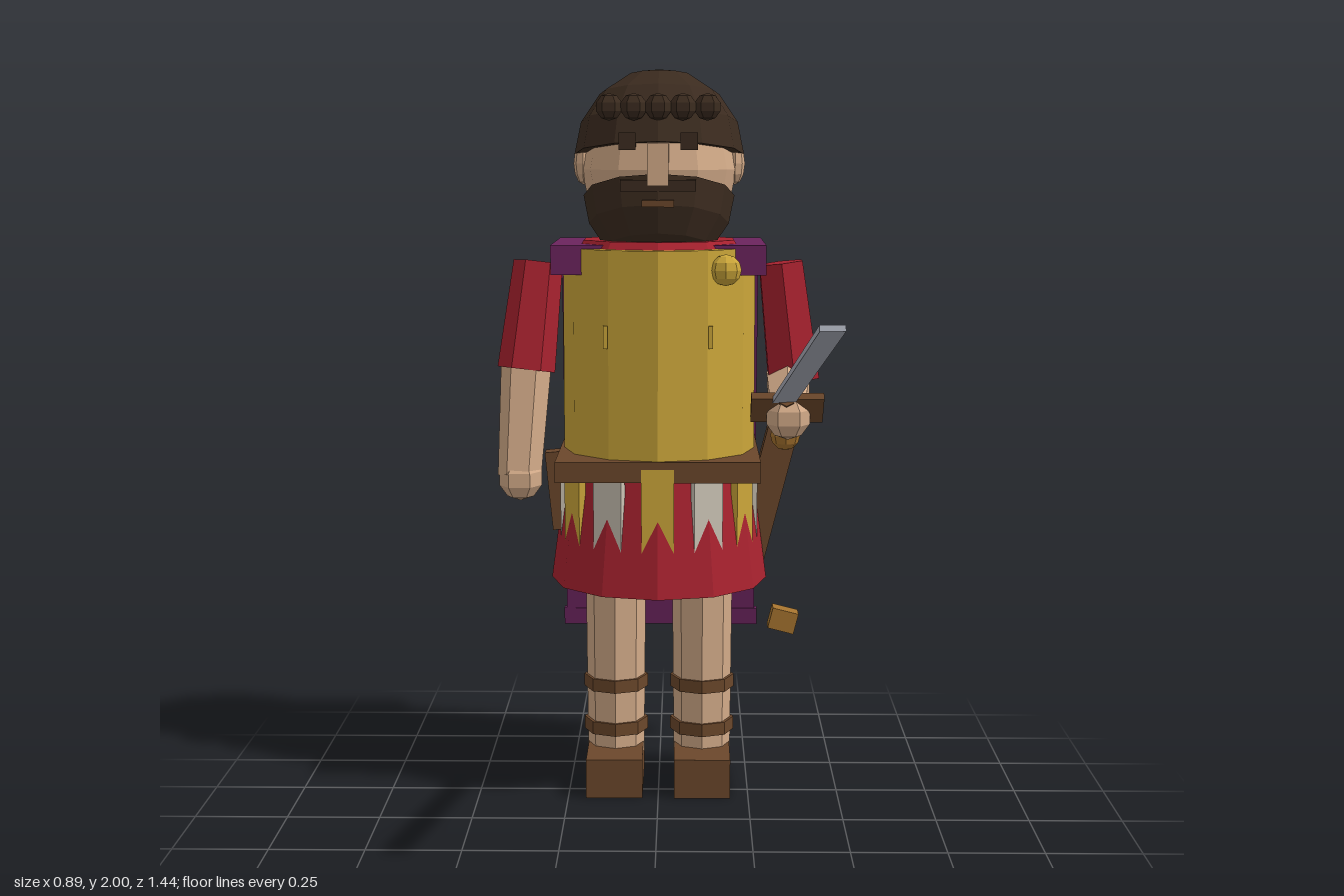
import * as THREE from 'three';

const makeMaterial = (name, color) => {
  const m = new THREE.MeshStandardMaterial({ color });
  m.name = name;
  return m;
};

export function createModel() {
  const skin = makeMaterial('skin', 0xd2aa88);
  const hair = makeMaterial('dark hair', 0x3b2b1f);
  const gold = makeMaterial('gold', 0xcba63a);
  const red = makeMaterial('red cloth', 0xa9222f);
  const purple = makeMaterial('purple cloth', 0x6c245e);
  const white = makeMaterial('pale leather', 0xcbc3b4);
  const brown = makeMaterial('brown leather', 0x6b472b);
  const bronze = makeMaterial('bronze', 0xa5732f);
  const steel = makeMaterial('steel', 0xa8abb6);

  const model = new THREE.Group();
  model.name = 'soldier';
  const bodyZ = -0.355;

  // Faceted mesh at a position
  const add = (name, geometry, material, x, y, z) => {
    const g = geometry.index ? geometry.toNonIndexed() : geometry;
    g.computeVertexNormals();
    const mesh = new THREE.Mesh(g, material);
    mesh.name = name;
    mesh.position.set(x, y, z);
    model.add(mesh);
    return mesh;
  };
  const box = (name, mat, w, h, d, x, y, z) => add(name, new THREE.BoxGeometry(w, h, d), mat, x, y, z);
  const ball = (name, mat, r, x, y, z, ws = 8, hs = 6) =>
    add(name, new THREE.SphereGeometry(r, ws, hs), mat, x, y, z);
  const tube = (name, mat, rTop, rBottom, y0, y1, sides, x = 0, z = bodyZ) =>
    add(name, new THREE.CylinderGeometry(rTop, rBottom, y1 - y0, sides), mat, x, (y0 + y1) / 2, z);
  // Tapered limb between two points
  const limb = (name, mat, from, to, r0, r1, sides = 6) => {
    const a = new THREE.Vector3(...from), b = new THREE.Vector3(...to);
    const dir = b.clone().sub(a), mid = a.clone().add(b).multiplyScalar(0.5);
    const mesh = add(name, new THREE.CylinderGeometry(r1, r0, dir.length(), sides), mat, mid.x, mid.y, mid.z);
    mesh.quaternion.setFromUnitVectors(new THREE.Vector3(0, 1, 0), dir.normalize());
    return mesh;
  };
  // Closed half ball, upper or lower
  const halfBall = (name, mat, r, upper, x, y, z) => {
    const arc = [];
    for (let i = 0; i <= 4; i++) {
      const t = (i / 4) * Math.PI / 2;
      arc.push(upper ? new THREE.Vector2(r * Math.cos(t), r * Math.sin(t))
        : new THREE.Vector2(r * Math.sin(t), -r * Math.cos(t)));
    }
    const centre = new THREE.Vector2(0, 0);
    return add(name, new THREE.LatheGeometry(upper ? [centre, ...arc] : [...arc, centre], 12), mat, x, y, z);
  };

  // Legs, straps and shoes
  for (const s of [-1, 1]) {
    const x = s * 0.122;
    tube('leg', skin, 0.085, 0.08, 0.08, 0.65, 8, x);
    for (const y of [0.165, 0.29]) tube('legStrap', brown, 0.09, 0.09, y - 0.018, y + 0.018, 8, x);
    box('shoe', brown, 0.156, 0.11, 0.29, x, 0.055, -0.315);
  }

  // Flared skirt with hanging strips
  tube('skirt', red, 0.255, 0.302, 0.59, 0.94, 12);
  for (let i = 0; i < 12; i++) {
    const a = (i * Math.PI) / 6, r = 0.264;
    const strip = box('skirtStrip', i % 2 ? white : gold, 0.088, 0.28, 0.02,
      r * Math.sin(a), 0.8, bodyZ + r * Math.cos(a));
    strip.rotation.y = a;
  }

  // Torso, belt and collar
  tube('breastplate', gold, 0.265, 0.265, 0.93, 1.52, 12);
  for (const s of [-1, 1]) box('chestRidge', gold, 0.012, 0.06, 0.02, s * 0.14, 1.29, -0.126);
  box('belt', brown, 0.55, 0.056, 0.56, 0, 0.932, -0.362);
  tube('collar', red, 0.215, 0.24, 1.5, 1.54, 10);
  tube('neck', skin, 0.11, 0.11, 1.48, 1.62, 8);

  // Cape with shoulder yoke, hem and brooch
  box('capeYoke', purple, 0.58, 0.08, 0.44, 0, 1.49, -0.42);
  const cape = box('cape', purple, 0.56, 1.1, 0.045, 0, 0.935, -0.632);
  cape.rotation.x = 0.12;
  const hem = box('capeHem', purple, 0.575, 0.05, 0.02, 0, 0.4, -0.682);
  hem.rotation.x = 0.12;
  ball('brooch', gold, 0.042, 0.18, 1.467, -0.145);

  // Head, ears and face
  ball('head', skin, 0.212, 0, 1.73, -0.36, 12, 8);
  for (const s of [-1, 1]) {
    ball('ear', skin, 0.05, s * 0.208, 1.745, -0.375).scale.set(0.55, 1.15, 0.7);
    box('eye', hair, 0.045, 0.045, 0.05, s * 0.082, 1.805, -0.185);
  }
  box('nose', skin, 0.056, 0.11, 0.07, 0, 1.745, -0.14);
  halfBall('hairCap', hair, 0.233, true, 0, 1.77, -0.378).rotation.x = -0.15;
  for (let i = -2; i <= 2; i++) {
    ball('curl', hair, 0.036, i * 0.065, 1.895, -0.172 - Math.abs(i) * 0.005, 6, 5);
  }
  halfBall('beard', hair, 0.206, false, 0, 1.66, -0.325).rotation.x = -0.3;
  box('moustache', hair, 0.2, 0.03, 0.06, 0, 1.69, -0.15);
  box('mouth', brown, 0.085, 0.018, 0.02, 0, 1.643, -0.124);

  // Right arm, hanging
  limb('rightSleeve', red, [-0.335, 1.475, -0.37], [-0.368, 1.18, -0.335], 0.068, 0.08);
  limb('rightForearm', skin, [-0.368, 1.2, -0.335], [-0.385, 0.89, -0.275], 0.07, 0.06);
  ball('rightHand', skin, 0.062, -0.382, 0.885, -0.272, 6, 5);

  // Left arm, raised forward
  limb('leftSleeve', red, [0.335, 1.475, -0.36], [0.374, 1.15, -0.36], 0.068, 0.08);
  limb('leftForearm', skin, [0.36, 1.14, -0.37], [0.345, 1.1, -0.04], 0.068, 0.054);
  ball('leftHand', skin, 0.06, 0.343, 1.09, -0.03, 6, 5);

  // Sword
  const blade = box('swordBlade', steel, 0.06, 0.015, 0.77, 0.366, 1.265, 0.355);
  blade.lookAt(0.402, 1.393, 0.717);
  box('swordGuard', brown, 0.19, 0.095, 0.022, 0.34, 1.115, -0.03).rotation.x = 0.75;
  limb('swordGrip', brown, [0.335, 1.03, -0.11], [0.337, 1.14, 0], 0.022, 0.022);
  ball('swordPommel', bronze, 0.04, 0.34, 1.03, -0.11);

  // Scabbard with its loose tip, and a sheath on the other hip
  box('scabbard', brown, 0.085, 0.42, 0.06, 0.305, 0.845, -0.39).rotation.z = -0.25;
  box('scabbardTip', bronze, 0.075, 0.06, 0.06, 0.352, 0.46, -0.39).rotation.z = -0.25;
  box('hipSheath', brown, 0.045, 0.22, 0.06, -0.285, 0.84, bodyZ).rotation.z = 0.1;

  return model;
}
